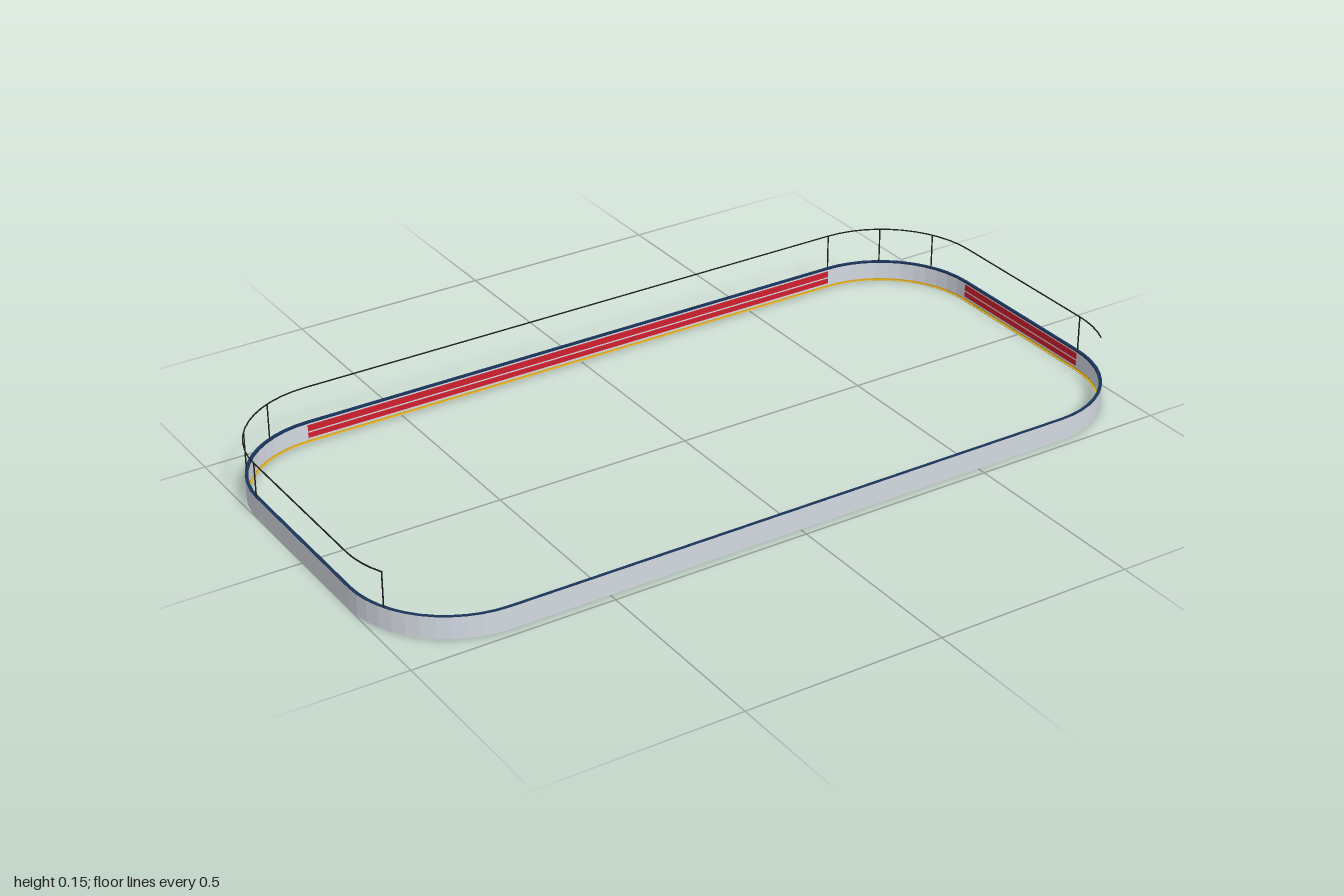
import * as THREE from 'three';

const HX = 1, HZ = 0.478, R = 0.255;   // outer outline and corner radius
const CX = HX - R, CZ = HZ - R;        // straight half-lengths
const WALL = 0.003, LEDGE = 0.008;     // wall thickness, width of cap and base
const H = 0.056, TOP = 0.146, WIRE = 0.0025;

export function createModel() {
  const group = new THREE.Group();
  const mat = (name, color) => {
    const m = new THREE.MeshStandardMaterial({ color });
    m.name = name;
    return m;
  };
  const grey = mat('boardGrey', 0xd4d9e2);
  const navy = mat('capNavy', 0x18335a);
  const yellow = mat('kickYellow', 0xe0b020);
  const red = mat('stripeRed', 0xd0202e);
  const black = mat('frameBlack', 0x1c1e22);

  const add = (name, geo, material, x = 0, y = 0, z = 0) => {
    const mesh = new THREE.Mesh(geo, material);
    mesh.name = name;
    mesh.position.set(x, y, z);
    group.add(mesh);
    return mesh;
  };

  // Rounded rectangle set in from the outer outline
  const outline = (inset, Type) => {
    const p = new Type(), r = R - inset;
    [[CX, CZ], [-CX, CZ], [-CX, -CZ], [CX, -CZ]].forEach(([x, y], i) =>
      p.absarc(x, y, r, i * Math.PI / 2, (i + 1) * Math.PI / 2, false));
    p.closePath();
    return p;
  };
  const extrudeUp = (shape, height) =>
    new THREE.ExtrudeGeometry(shape, { depth: height, bevelEnabled: false, curveSegments: 6 })
      .rotateX(-Math.PI / 2);
  const ring = (name, from, to, y0, y1, material) => {
    const shape = outline(from, THREE.Shape);
    shape.holes.push(outline(to, THREE.Path));
    add(name, extrudeUp(shape, y1 - y0), material, 0, y0, 0);
  };

  // Boards on a narrow base, with an overhanging cap
  ring('boards', 0, WALL, 0, H - 0.001, grey);
  ring('boardBase', WALL, LEDGE, 0, 0.0016, grey);
  ring('boardCap', 0, LEDGE, H - 0.001, H, navy);
  ring('capLip', WALL, LEDGE, H - 0.004, H - 0.001, navy);

  // Yellow kick strip lying on the base and turned up the wall
  ring('kickLedge', WALL, LEDGE, 0.0016, 0.002, yellow);
  ring('kickStrip', WALL, WALL + 0.0006, 0.002, 0.0055, yellow);

  // Red stripes inside the back wall and one end wall
  for (const [y, h] of [[0.018, 0.013], [0.037, 0.016]]) {
    add('backStripe', new THREE.BoxGeometry(2 * CX, h, 0.003), red, 0, y, -HZ + WALL);
    add('endStripe', new THREE.BoxGeometry(0.003, h, 2 * CZ), red, HX - WALL, y, 0);
  }

  // Open top rail running round the two ends and the back
  const start = Math.asin((0.335 - CZ) / R);
  const railSide = (r) => {
    const pts = [];
    const arc = (x, y, a0, a1, n) => {
      for (let i = 0; i <= n; i++) {
        const a = a0 + (a1 - a0) * i / n;
        pts.push(new THREE.Vector2(x + r * Math.cos(a), y + r * Math.sin(a)));
      }
    };
    arc(CX, -CZ, -start, 0, 4);
    arc(CX, CZ, 0, Math.PI / 2, 12);
    arc(-CX, CZ, Math.PI / 2, Math.PI, 12);
    arc(-CX, -CZ, Math.PI, Math.PI + start, 4);
    return pts;
  };
  const rail = new THREE.Shape([...railSide(R), ...railSide(R - WIRE).reverse()]);
  add('topRail', extrudeUp(rail, WIRE), black, 0, TOP - WIRE, 0);

  // Thin posts, as x and z on the outline
  const posts = [[1, 0.223], [0.97, -0.333], [0.88, -0.438], [0.745, -0.478],
    [-0.855, -0.452], [-0.96, -0.358], [-1, -0.223], [-0.974, 0.335]];
  const postGeo = new THREE.BoxGeometry(WIRE, TOP - H, WIRE);
  for (const [x, z] of posts) {
    // Pull each post in by half its width towards the corner centre
    const cx = Math.sign(x) * CX, cz = Math.sign(z) * CZ;
    const k = (R - WIRE / 2) / R;
    add('post', postGeo, black, cx + (x - cx) * k, (TOP + H) / 2, cz + (z - cz) * k);
  }
  return group;
}
